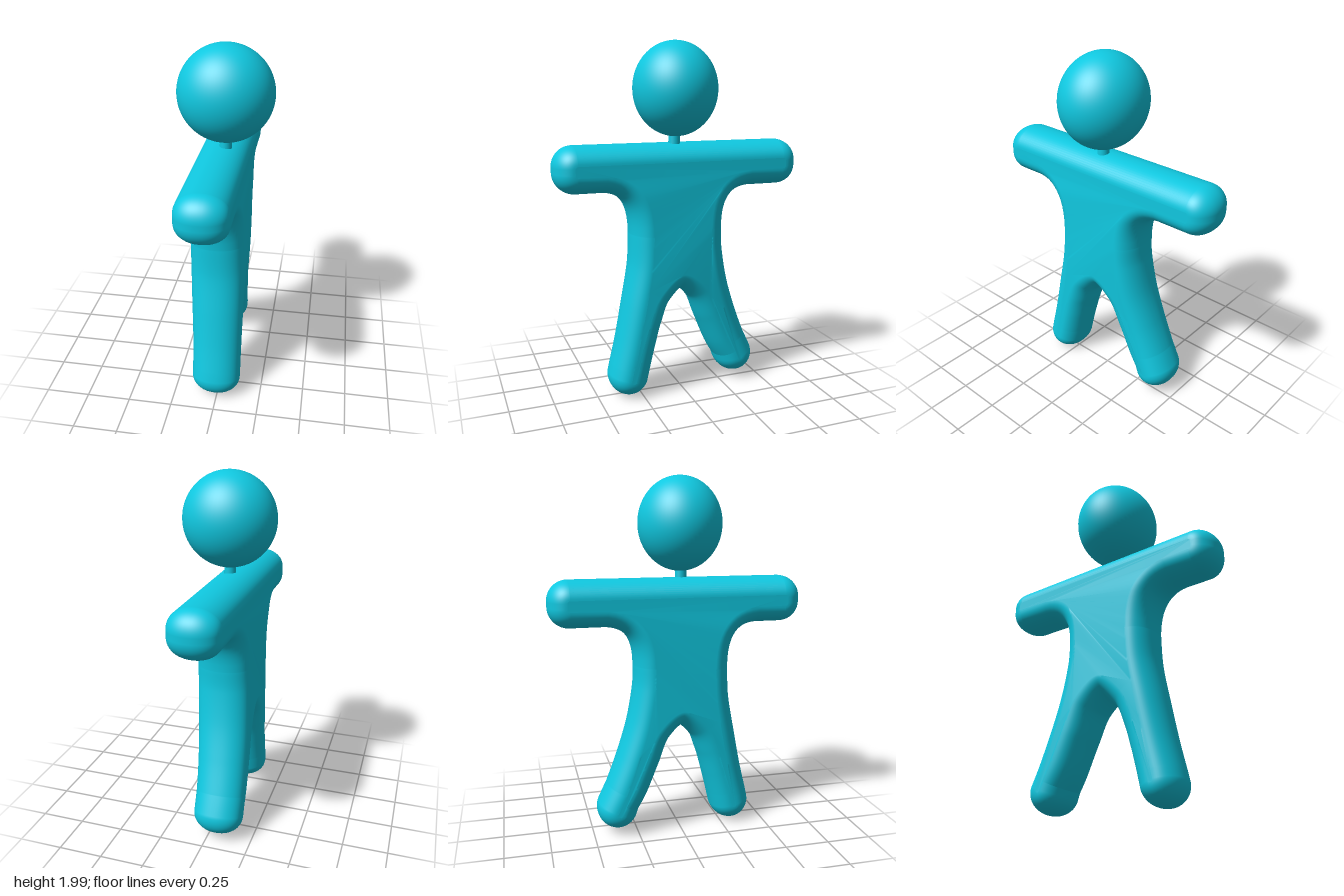
import * as THREE from 'three';
import { mergeVertices } from 'three/addons/utils/BufferGeometryUtils.js';

const ROUND = 0.1;   // in-plane rounding of the body edge
const HALF = 0.138;  // half thickness of the limbs

const material = new THREE.MeshStandardMaterial({ color: 0x10c8e0 });
const points = (list) => list.map(([z, y]) => new THREE.Vector2(z, y));

function addMesh(group, name, geometry) {
  const mesh = new THREE.Mesh(geometry, material);
  mesh.name = name;
  group.add(mesh);
  return mesh;
}

// Core outline of the body (z across, y up); the round bevel swells it to full size.
function bodyOutline() {
  const s = new THREE.Shape();
  const q = Math.PI / 2;
  s.moveTo(-0.5, 1.35);
  // front arm tip and armpit
  s.absarc(0.597, 1.335, 0.015, q, 0, true);
  s.absarc(0.597, 1.305, 0.015, 0, -q, true);
  s.lineTo(0.44, 1.29);
  s.quadraticCurveTo(0.19, 1.27, 0.19, 0.95);
  // front leg, outside, foot
  s.splineThru(points([[0.2, 0.76], [0.242, 0.53], [0.282, 0.33], [0.32, 0.17]]));
  s.absarc(0.317, 0.12, 0.014, 0.17, -2.88, true);
  s.lineTo(0.287, 0.19);
  // inside of both legs, over the crotch
  s.splineThru(points([[0.255, 0.32], [0.214, 0.464], [0.15, 0.61], [0.01, 0.715],
    [-0.135, 0.61], [-0.212, 0.44], [-0.28, 0.28], [-0.33, 0.19]]));
  // back foot and outside of the back leg
  s.absarc(-0.36, 0.15, 0.015, -0.26, -3.5, true);
  s.lineTo(-0.326, 0.255);
  s.splineThru(points([[-0.256, 0.435], [-0.193, 0.635], [-0.155, 0.84], [-0.15, 0.97]]));
  // back armpit and arm tip
  s.quadraticCurveTo(-0.15, 1.27, -0.4, 1.29);
  s.absarc(-0.6, 1.305, 0.015, -q, -2 * q, true);
  s.absarc(-0.6, 1.335, 0.015, 2 * q, q, true);
  s.closePath();
  return s;
}

function bodyGeometry() {
  const depth = 0.01;
  let g = new THREE.ExtrudeGeometry(bodyOutline(), {
    depth, curveSegments: 12, bevelEnabled: true, bevelSegments: 14,
    bevelSize: ROUND, bevelThickness: HALF - depth / 2,
  });
  g.translate(0, 0, -depth / 2);
  g.rotateY(-Math.PI / 2);

  // Thicken the torso slightly and lean the legs apart sideways
  const p = g.attributes.position;
  const step = THREE.MathUtils.smoothstep;
  for (let i = 0; i < p.count; i++) {
    const y = p.getY(i), z = p.getZ(i);
    const torso = step(y, 0.2, 0.8) * (1 - step(y, 1.15, 1.3));
    const leg = 1 - step(y, 0.15, 1.0);
    const side = step(z, -0.18, 0.18);
    const lean = leg * THREE.MathUtils.lerp(-0.033, 0.012, side);
    p.setX(i, p.getX(i) * (1 + 0.07 * torso) - 0.0225 + lean);
  }

  // Weld for a smooth skin
  g.deleteAttribute('uv');
  g.deleteAttribute('normal');
  g = mergeVertices(g, 1e-5);
  g.computeVertexNormals();
  return g;
}

export function createModel() {
  const figure = new THREE.Group();
  figure.name = 'figure';

  addMesh(figure, 'body', bodyGeometry());

  const neck = addMesh(figure, 'neck', new THREE.CylinderGeometry(0.031, 0.034, 0.11, 32));
  neck.position.set(0, 1.475, 0.03);

  const head = addMesh(figure, 'head', new THREE.SphereGeometry(1, 64, 48));
  head.scale.set(0.257, 0.258, 0.232);
  head.position.set(0, 1.742, 0.024);

  return figure;
}
